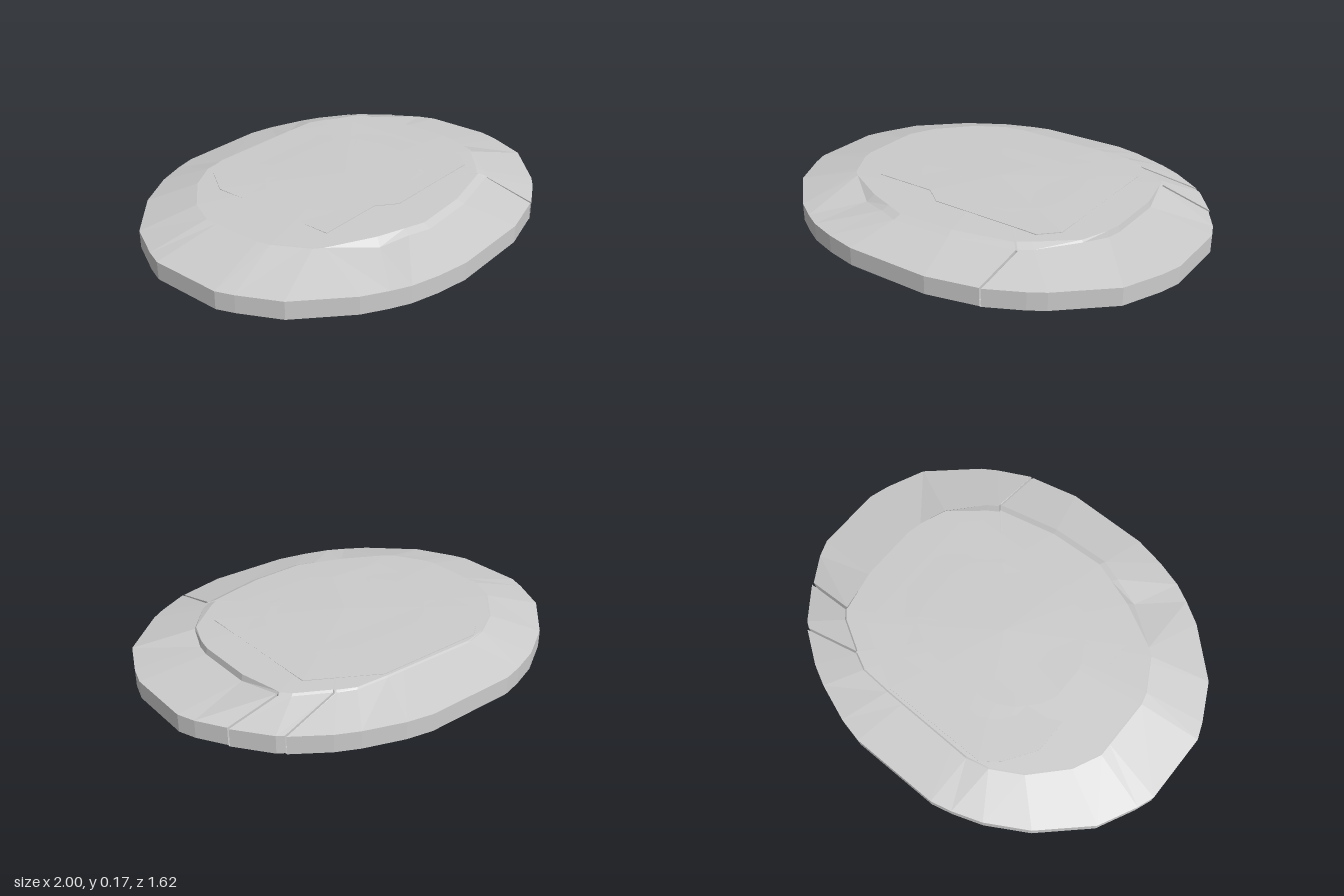
import * as THREE from 'three';

const grey = new THREE.MeshStandardMaterial({ color: 0xcccccc, flatShading: true, side: THREE.DoubleSide });

// Rim outline as [x, z, shoulderX, shoulderZ]; the shoulder is optional.
const outline = [
  [1, -0.17], [1, 0.15], [0.97, 0.25], [0.89, 0.43], [0.67, 0.63], [0.6, 0.675],
  [0.437, 0.755, 0.437, 0.505], [0.2, 0.81], [-0.2, 0.81], [-0.35, 0.78],
  [-0.48, 0.74, -0.38, 0.5], [-0.565, 0.695, -0.565, 0.36], [-0.67, 0.63, -0.6, 0.33],
  [-0.88, 0.43], [-0.97, 0.25], [-1, 0.17], [-1, -0.17], [-0.97, -0.25], [-0.88, -0.43],
  [-0.67, -0.63], [-0.48, -0.74], [-0.34, -0.79], [-0.24, -0.815], [0.2, -0.815], [0.32, -0.79],
  [0.5, -0.725], [0.6, -0.675], [0.75, -0.565, 0.47, -0.512], [0.78, -0.54],
  [0.895, -0.38, 0.65, -0.38], [0.97, -0.25],
];
// Open seams through the rim: outline index and half-width vector
const seams = { 6: [-0.005, 0], 27: [0, 0.005], 29: [0, 0.006] };

const shoulder = [
  [0.69, -0.3], [0.69, 0.1], [0.66, 0.25], [0.55, 0.42], [0.4, 0.52], [0.05, 0.59], [-0.1, 0.6],
  [-0.38, 0.5], [-0.6, 0.33], [-0.7, 0.15], [-0.7, -0.2], [-0.6, -0.38], [-0.45, -0.5],
  [-0.3, -0.57], [0.37, -0.56], [0.6, -0.45],
];

// Where the ray from the centre through (x, z) crosses the shoulder
function onShoulder(x, z) {
  for (let i = 0; i < shoulder.length; i++) {
    const [ax, az] = shoulder[i], [bx, bz] = shoulder[(i + 1) % shoulder.length];
    const ex = bx - ax, ez = bz - az, d = x * ez - z * ex;
    if (Math.abs(d) < 1e-9) continue;
    const t = (ax * ez - az * ex) / d, s = (ax * z - az * x) / d;
    if (t > 0 && s >= -1e-6 && s <= 1 + 1e-6) return [x * t, z * t];
  }
  return [x * 0.7, z * 0.7];
}

// Height of the gently domed plateau
function domeY(x, z) {
  const [sx, sz] = onShoulder(x, z);
  return 0.168 - 0.013 * (x * x + z * z) / (sx * sx + sz * sz);
}

// Step from plateau down to the sloping border: deep at +x and the front
function ledgeDrop(x, z) {
  if (x > 0.655) return 0.028;
  if (z > 0.4) return x < -0.25 ? (x < -0.45 ? 0.004 : 0.03) : 0.016;
  if (x > 0.4) return 0.01;
  return z < -0.5 && x > -0.35 ? 0.008 : 0;
}

function mesh(name, geometry) {
  const m = new THREE.Mesh(geometry, grey);
  m.name = name;
  return m;
}

function fromTriangles(name, data) {
  const g = new THREE.BufferGeometry();
  g.setAttribute('position', new THREE.Float32BufferAttribute(data, 3));
  g.computeVertexNormals();
  return mesh(name, g);
}

// Joins a closed outer ring to an inner one, leaving out open segments
function band(name, outer, inner, open = () => false) {
  const data = [];
  outer.forEach((a, i) => {
    if (open(i)) return;
    const j = (i + 1) % outer.length;
    data.push(...inner[i], ...outer[j], ...a, ...inner[i], ...inner[j], ...outer[j]);
  });
  return fromTriangles(name, data);
}

function fan(name, ring, centre) {
  const data = [];
  ring.forEach((p, i) => data.push(...centre, ...ring[(i + 1) % ring.length], ...p));
  return fromTriangles(name, data);
}

const toShape = (pts) => new THREE.Shape(pts.map(([x, z]) => new THREE.Vector2(x, z)));

// Flat downward-facing sheet at height y
function sheet(name, shape, y) {
  const m = mesh(name, new THREE.ShapeGeometry(shape));
  m.rotation.x = Math.PI / 2;
  m.position.y = y;
  return m;
}

export function createModel() {
  const group = new THREE.Group();

  // Expand each seam into a pair of points
  const points = [], openAt = new Set();
  outline.forEach((p, i) => {
    const s = onShoulder(p[0], p[1]);
    const [x, z, sx = s[0], sz = s[1]] = p;
    const w = seams[i];
    if (!w) { points.push([x, z, sx, sz]); return; }
    openAt.add(points.length);
    for (const k of [-1, 1]) points.push([x + k * w[0], z + k * w[1], sx + k * w[0], sz + k * w[1]]);
  });
  const isOpen = (i) => openAt.has(i);

  // Concentric sections from the base up to the crown; the front step is a soft slope
  const base = points.map(([x, z]) => [x, 0, z]);
  const rim = points.map(([x, z]) => [x, 0.083, z]);
  const ledge = points.map(([, , x, z]) => [x * 1.01, 0.155 - ledgeDrop(x, z), z * 1.01]);
  const edge = points.map(([, , x, z]) => {
    const k = z > 0.4 ? 0.95 : 1;
    return [x * k, 0.155, z * k];
  });
  const crown = edge.map(([x, , z]) => [x * 0.55, domeY(x * 0.55, z * 0.55), z * 0.55]);
  group.add(band('rimWall', base, rim, isOpen));
  group.add(band('slopingBorder', rim, ledge, isOpen));
  group.add(band('ledgeStep', ledge, edge));
  group.add(band('plateau', edge, crown));
  group.add(fan('crown', crown, [0, 0.168, 0]));

  // Seam channels: two side walls and a recessed floor
  for (const i of openAt) {
    const low = (p) => [p[0], 0.03, p[2]];
    const a = low(ledge[i]), b = low(ledge[i + 1]), c = low(rim[i + 1]), d = low(rim[i]);
    const data = [...a, ...b, ...c, ...a, ...c, ...d];
    for (const k of [i, i + 1]) {
      data.push(...base[k], ...rim[k], ...ledge[k], ...base[k], ...ledge[k], ...low(ledge[k]));
    }
    group.add(fromTriangles('rimSeam', data));
  }

  // Thin raised panel on the plateau
  const panel = [
    [0.53, -0.38], [0.53, 0.3], [0.45, 0.38], [-0.08, 0.38], [-0.17, 0.31], [-0.48, 0.3],
    [-0.48, -0.34], [-0.38, -0.49], [-0.3, -0.55], [0.23, -0.55],
  ];
  const panelTop = panel.map(([x, z]) => [x, domeY(x, z) + 0.002, z]);
  const panelFoot = panelTop.map(([x, y, z]) => [x, y - 0.01, z]);
  group.add(fan('topPanel', panelTop, [0, 0.17, 0]));
  group.add(band('topPanelEdge', panelFoot, panelTop));

  // Flat underside with a large angular hollow reaching up to the plateau
  const hollow = [
    [0.535, -0.37], [0.57, 0.19], [0.67, 0.17], [0.5, 0.365], [-0.39, 0.47],
    [-0.56, 0.34], [-0.43, -0.69], [-0.22, -0.48], [0.29, -0.505],
  ];
  const roof = hollow.map(([x, z]) => (z < -0.6 ? [-0.55, -0.3] : [x, z]));
  const under = toShape(points);
  under.holes.push(toShape(hollow));
  group.add(sheet('underside', under, 0));
  group.add(sheet('hollowRoof', toShape(roof), 0.145));
  group.add(band('hollowWall', hollow.map(([x, z]) => [x, 0, z]), roof.map(([x, z]) => [x, 0.145, z])));

  return group;
}
